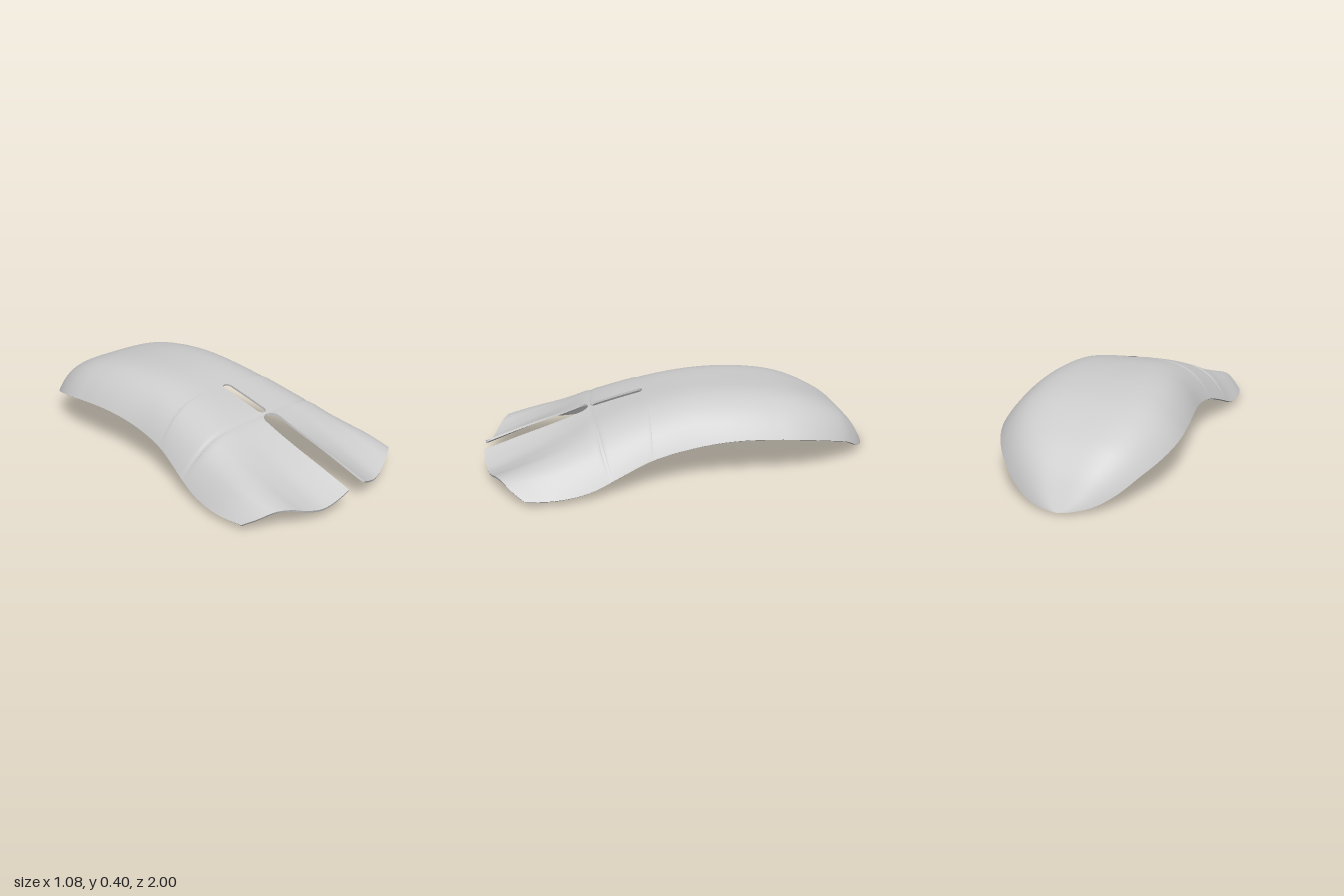
import * as THREE from 'three';
import { mergeVertices } from 'three/addons/utils/BufferGeometryUtils.js';

// Smooth curve through [position, value] points
function curve(pts) {
  const slope = (i) => {
    const a = pts[Math.max(i - 1, 0)], b = pts[Math.min(i + 1, pts.length - 1)];
    return (b[1] - a[1]) / (b[0] - a[0]);
  };
  return (t) => {
    let i = 0;
    while (i < pts.length - 2 && t > pts[i + 1][0]) i++;
    const [a, ya] = pts[i], [b, yb] = pts[i + 1];
    const h = b - a, k = Math.min(Math.max((t - a) / h, 0), 1), k2 = k * k, k3 = k2 * k;
    return ya * (2 * k3 - 3 * k2 + 1) + yb * (3 * k2 - 2 * k3)
      + h * (slope(i) * (k3 - 2 * k2 + k) + slope(i + 1) * (k3 - k2));
  };
}

const THICKNESS = 0.01;
// Height of the spine and of the outer rim along z
const spine = curve([[-1, 0.004], [-0.95, 0.085], [-0.9, 0.155], [-0.8, 0.25], [-0.6, 0.345], [-0.4, 0.385],
  [-0.2, 0.397], [0, 0.386], [0.2, 0.347], [0.47, 0.276], [0.6, 0.23], [0.8, 0.165], [1, 0.095]]);
const rim = curve([[-1, 0.004], [-0.95, 0.027], [-0.9, 0.06], [-0.8, 0.125], [-0.6, 0.187], [-0.4, 0.212],
  [-0.2, 0.215], [0, 0.19], [0.2, 0.15], [0.35, 0.097], [0.48, 0.048], [0.6, 0.03], [0.8, 0.027]]);
// Half width in plan, with a rounded back end
const side = curve([[-0.45, 0.43], [-0.35, 0.432], [-0.2, 0.428], [-0.05, 0.422], [0.05, 0.425], [0.2, 0.445],
  [0.4, 0.495], [0.55, 0.525], [0.67, 0.538], [0.79, 0.528]]);
const halfWidth = (z) => z < -0.45
  ? 0.43 * Math.pow(Math.max(0, 1 - ((z + 0.45) / 0.55) ** 2), 0.6) : side(z);
// Front edge in plan, and the dished section of the two front flaps
const frontEdge = curve([[0, 1], [0.3, 0.975], [0.5, 0.95], [0.72, 0.91], [0.83, 0.88], [0.92, 0.84], [1, 0.79]]);
const dish = curve([[0, 0], [0.1, -0.022], [0.3, -0.045], [0.5, -0.026], [0.65, 0.005], [0.8, 0.024],
  [0.9, 0.014], [1, 0]]);

// Half width of the closed slot and of the open front slot
function slot(z) {
  const cap = (d, r) => Math.sqrt(Math.max(0, 1 - (1 - Math.min(d / r, 1)) ** 2));
  if (z > 0.19 && z < 0.455) return 0.025 * cap(Math.min(z - 0.19, 0.455 - z), 0.025);
  if (z > 0.47) return (0.047 + 0.011 * Math.min((z - 0.47) / 0.25, 1)) * cap(z - 0.47, 0.04);
  return 0;
}

// Point on the shell: row runs back to front, u from centre line to rim
function shellPoint(row, u) {
  const remap = (end) => row < 0.2 ? row : 0.2 + (row - 0.2) * (end - 0.2) / 0.8;
  const z = remap(frontEdge(u)), zRim = remap(0.79);
  const s = slot(row), x = s + (halfWidth(zRim) - s) * u;
  const low = rim(zRim);
  const y = low + (spine(row) - low) * (1 - Math.pow(u, 4.1))
    + dish(u) * THREE.MathUtils.smoothstep(row, 0.3, 1);
  return [x, y, z];
}

// Rows bunched at the back tip and at the slot ends
function rowList() {
  const rows = [];
  for (let i = 0; i <= 24; i++) rows.push(-1 + 0.5 * (i / 24) ** 2);
  for (let i = 1; i <= 50; i++) rows.push(-0.5 + 1.5 * i / 50);
  for (let i = 0; i <= 8; i++) {
    const f = (i / 8) ** 2;
    rows.push(0.19 + 0.025 * f, 0.455 - 0.025 * f, 0.47 + 0.04 * f);
  }
  rows.sort((a, b) => a - b);
  return rows.filter((r, i) => i === 0 || r - rows[i - 1] > 1e-4);
}

function makeGeometry(position, index) {
  const g = new THREE.BufferGeometry();
  g.setAttribute('position', new THREE.Float32BufferAttribute(position, 3));
  g.setIndex(index);
  return g;
}

function outerGeometry() {
  const rows = rowList(), N = 26, position = [], index = [];
  for (const m of [1, -1]) {
    const base = position.length / 3;
    rows.forEach((row, r) => {
      for (let i = 0; i <= N; i++) {
        const [x, y, z] = shellPoint(row, 1 - (1 - i / N) ** 1.4);
        position.push(m * x, y, z);
        if (r === 0 || i === 0) continue;
        const d = base + r * (N + 1) + i, c = d - 1, b = d - N - 1, a = b - 1;
        if (m > 0) index.push(a, c, b, b, c, d);
        else index.push(a, b, c, b, d, c);
      }
    });
  }
  // weld the halves along the centre line and drop collapsed faces
  const g = mergeVertices(makeGeometry(position, index), 1e-5);
  const src = g.index.array, kept = [];
  for (let i = 0; i < src.length; i += 3) {
    const [a, b, c] = [src[i], src[i + 1], src[i + 2]];
    if (a !== b && b !== c && c !== a) kept.push(a, b, c);
  }
  g.setIndex(kept);
  g.computeVertexNormals();
  return g;
}

export function createModel() {
  const group = new THREE.Group();
  group.name = 'curvedShell';
  const material = new THREE.MeshStandardMaterial({ color: 0xcccccc, side: THREE.DoubleSide });
  const add = (name, geometry) => {
    const mesh = new THREE.Mesh(geometry, material);
    mesh.name = name;
    group.add(mesh);
  };

  // Upper skin
  const outer = outerGeometry();
  add('upperSkin', outer);

  // Lower skin, set in along the normals
  const p = outer.attributes.position, n = outer.attributes.normal, tri = outer.index.array;
  const inner = [], flipped = [];
  for (let i = 0; i < p.count; i++) {
    inner.push(p.getX(i) - THICKNESS * n.getX(i), Math.max(0, p.getY(i) - THICKNESS * n.getY(i)),
      p.getZ(i) - THICKNESS * n.getZ(i));
  }
  for (let i = 0; i < tri.length; i += 3) flipped.push(tri[i], tri[i + 2], tri[i + 1]);
  const lower = makeGeometry(inner, flipped);
  lower.computeVertexNormals();
  add('lowerSkin', lower);

  // Edge band joining both skins around the outline and the slots
  const edges = new Set(), band = [];
  for (let i = 0; i < tri.length; i += 3) {
    for (let k = 0; k < 3; k++) edges.add(tri[i + k] + '_' + tri[i + (k + 1) % 3]);
  }
  for (const e of edges) {
    const [a, b] = e.split('_').map(Number);
    if (!edges.has(b + '_' + a)) band.push(a, a + p.count, b, b, a + p.count, b + p.count);
  }
  const edge = makeGeometry([...p.array, ...inner], band);
  edge.computeVertexNormals();
  add('edgeBand', edge);
  return group;
}
